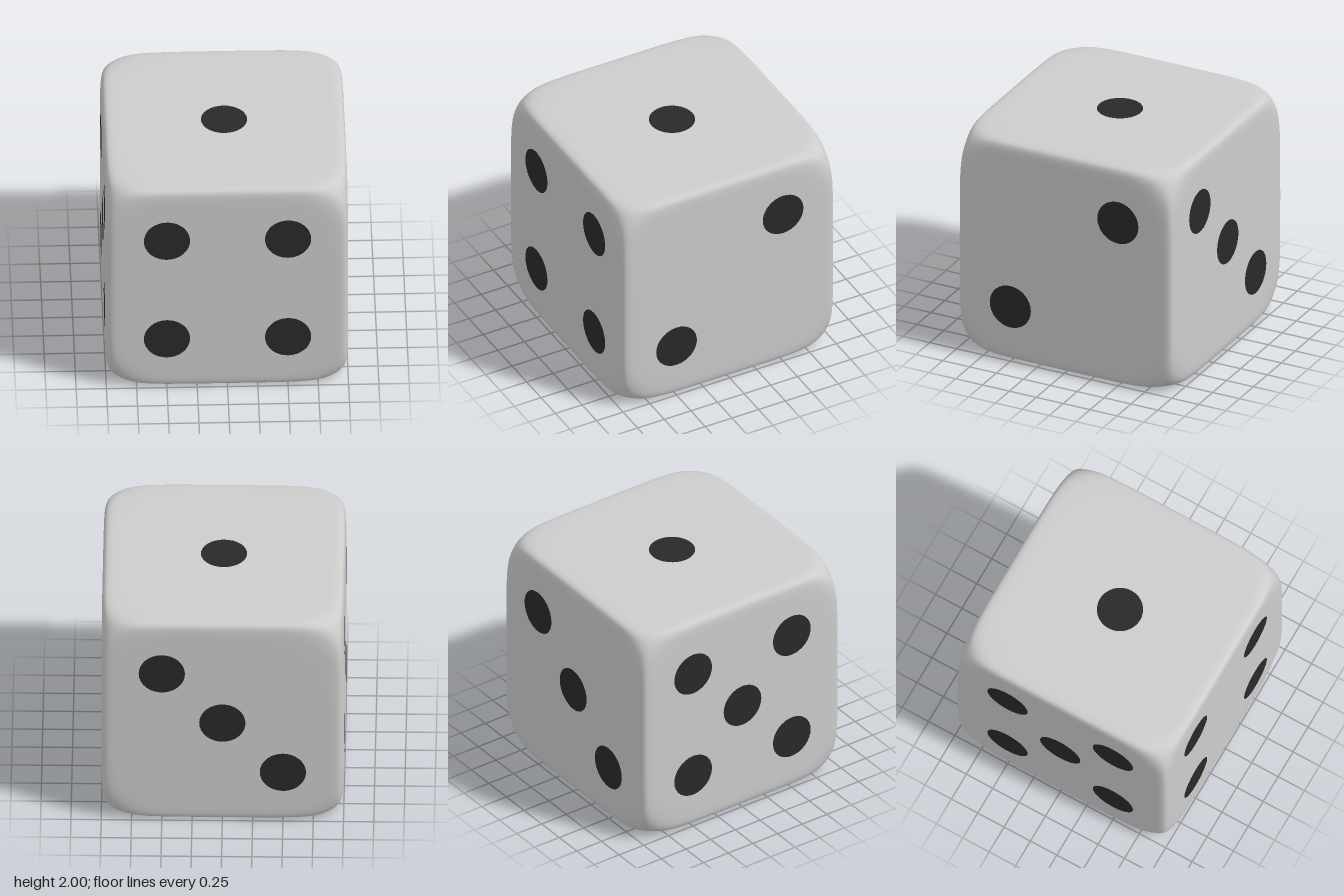
import * as THREE from 'three';

const SHARP = 34;      // higher = tighter edges
const BALL = 1.6;      // radius of the sphere that trims the eight corners

// Cube trimmed by a sphere, with all edges softly blended
function dieGeometry() {
  const geo = new THREE.BoxGeometry(2, 2, 2, 44, 44, 44);
  const pos = geo.attributes.position, nor = geo.attributes.normal;
  const p = new THREE.Vector3(), n = new THREE.Vector3();
  const crowd = (v) => Math.sin(v * Math.PI / 2);   // finer cells near the edges
  const slope = (v) => Math.sign(v) * Math.abs(v) ** (SHARP - 1);
  for (let i = 0; i < pos.count; i++) {
    p.fromBufferAttribute(pos, i);
    p.set(crowd(p.x), crowd(p.y), crowd(p.z));
    const sum = [p.x, p.y, p.z, p.length() / BALL]
      .reduce((s, v) => s + Math.abs(v) ** SHARP, 0);
    p.multiplyScalar(sum ** (-1 / SHARP));
    // Normal from the gradient of the blended shape
    const len = p.length();
    const pull = (len / BALL) ** (SHARP - 1) / (BALL * len);
    n.set(slope(p.x) + pull * p.x, slope(p.y) + pull * p.y, slope(p.z) + pull * p.z).normalize();
    pos.setXYZ(i, p.x, p.y, p.z);
    nor.setXYZ(i, n.x, n.y, n.z);
  }
  return geo;
}

export function createModel() {
  const model = new THREE.Group();
  model.name = 'die';
  const bodyMat = new THREE.MeshStandardMaterial({ color: 0xcccccc });
  bodyMat.name = 'light grey';
  const pipMat = new THREE.MeshStandardMaterial({ color: 0x292929 });
  pipMat.name = 'black';

  const body = new THREE.Mesh(dieGeometry(), bodyMat);
  body.name = 'body';
  body.position.y = 1;
  model.add(body);

  // Pip centres on each face, as [right, up] seen facing it
  const h = 0.5;
  const corners = [[-h, -h], [h, -h], [-h, h], [h, h]];
  const q = Math.PI / 2;
  const faces = [
    { name: 'topPips', turn: [-q, 0], pips: [[0, 0]] },
    { name: 'rightPips', turn: [0, q], pips: [[-h, -h], [h, h]] },
    { name: 'backPips', turn: [0, 2 * q], pips: [[-h, h], [0, 0], [h, -h]] },
    { name: 'frontPips', turn: [0, 0], pips: corners },
    { name: 'leftPips', turn: [0, -q], pips: [...corners, [0, 0]] },
    { name: 'bottomPips', turn: [q, 0], pips: [...corners, [-h, 0], [h, 0]] },
  ];
  faces[1].name = 'leftPips';    // +x is the model's own left
  faces[4].name = 'rightPips';

  const pipGeo = new THREE.CircleGeometry(0.191, 32);
  for (const { name, turn, pips } of faces) {
    const face = new THREE.Group();
    face.name = name;
    face.position.y = 1;
    face.rotation.set(turn[0], turn[1], 0);
    for (const [x, y] of pips) {
      const pip = new THREE.Mesh(pipGeo, pipMat);
      pip.name = 'pip';
      pip.position.set(x, y, 1.002);
      face.add(pip);
    }
    model.add(face);
  }
  return model;
}
